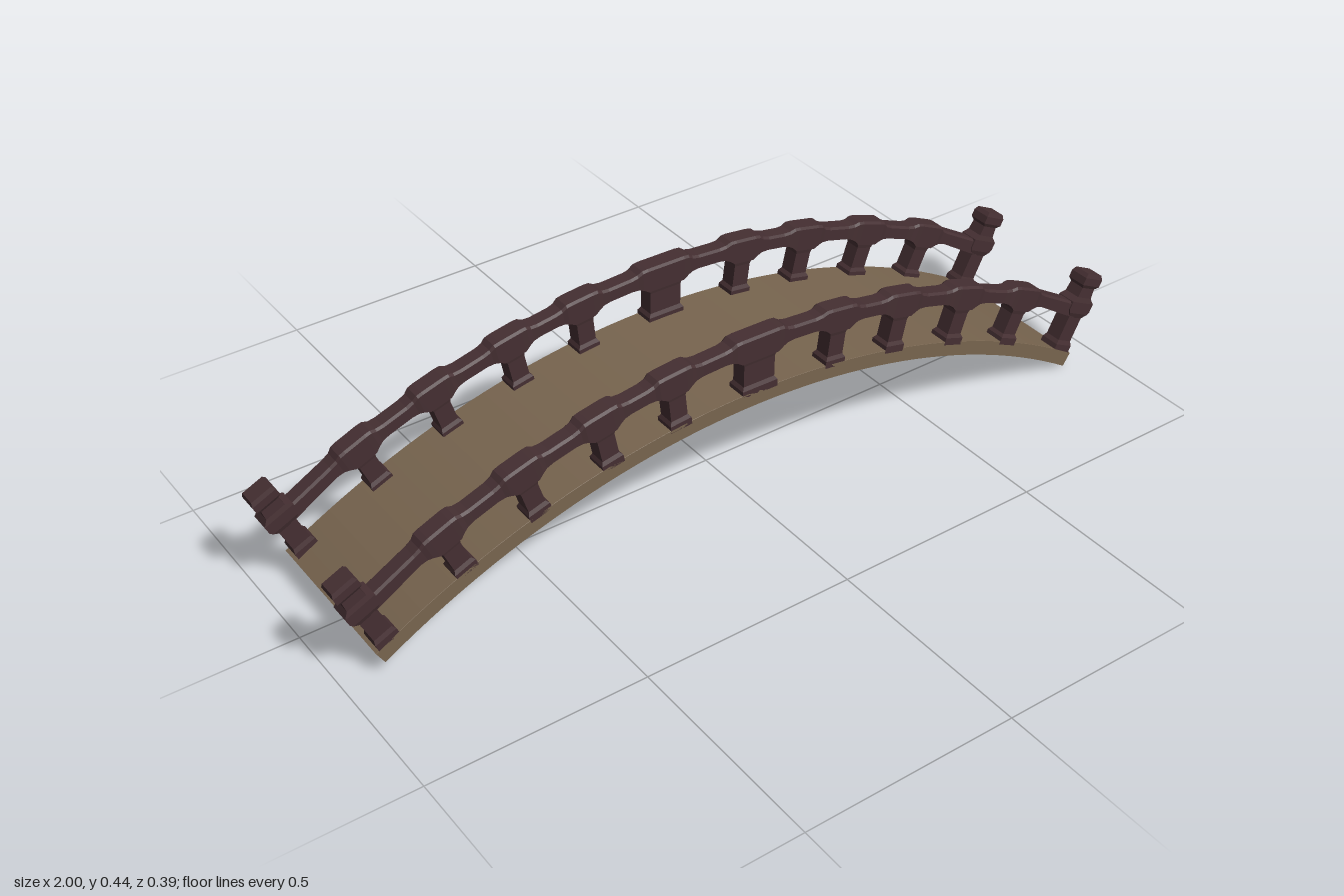
import * as THREE from 'three';

// The bridge follows circles around (0, CY); angles are measured from the vertical
const CY = -1.46, R_UNDER = 1.73, R_DECK = 1.765, RAIL_Z = 0.17;
const wood = new THREE.MeshStandardMaterial({ color: 0x78654f, flatShading: true });
const darkWood = new THREE.MeshStandardMaterial({ color: 0x452f32, flatShading: true });

// Skin a list of closed rings (each an array of [x, y, z]) and cap both ends
function loft(rings) {
  const n = rings[0].length, index = [];
  for (let i = 0; i < rings.length - 1; i++) {
    for (let j = 0; j < n; j++) {
      const a = i * n + j, b = i * n + (j + 1) % n;
      index.push(a, b, b + n, a, b + n, a + n);
    }
  }
  const last = (rings.length - 1) * n;
  for (let j = 1; j < n - 1; j++) index.push(0, j + 1, j, last, last + j, last + j + 1);
  const geometry = new THREE.BufferGeometry();
  geometry.setAttribute('position', new THREE.Float32BufferAttribute(rings.flat(2), 3));
  geometry.setIndex(index);
  geometry.computeVertexNormals();
  return geometry;
}

// Sweep a bar along the arch; stations are [angle, inner radius, outer radius, width, top chamfer]
function archBar(stations) {
  return loft(stations.map(([a, r0, r1, w, c]) => {
    const h = w / 2;
    const profile = [[r0, h], [r0, -h], [r1 - c, -h], [r1, c - h], [r1, h - c], [r1 - c, h]];
    return profile.map(([r, z]) => [Math.sin(a) * r, CY + Math.cos(a) * r, z]);
  }));
}

// Stack rectangles [height, width, depth] into a moulded square post
function squarePost(levels) {
  return loft(levels.map(([y, w, d]) =>
    [[-1, 1], [1, 1], [1, -1], [-1, -1]].map(([sx, sz]) => [sx * w / 2, y, sz * d / 2])));
}

function mesh(name, geometry, material) {
  const m = new THREE.Mesh(geometry, material);
  m.name = name;
  return m;
}

// Stand an object on the deck at angle a, leaning outward by tilt
function standOnDeck(object, a, tilt = a) {
  object.position.set(Math.sin(a) * R_DECK, CY + Math.cos(a) * R_DECK, 0);
  object.rotation.z = -tilt;
  return object;
}

const HALF_POSTS = [0.1135, 0.209, 0.311, 0.415];
const POSTS = [...HALF_POSTS.map(a => -a).reverse(), 0, ...HALF_POSTS];

function createRailing(name) {
  const railing = new THREE.Group();
  railing.name = name;

  // Handrail: slightly raised, wider and bracketed over each post
  const end = [1.848, 1.884, 0.041, 0.005];
  const stations = [[-0.522, ...end]];
  for (const a of POSTS) {
    const k = a === 0 ? 0.011 : 0;
    const bump = [
      [0.036 + k, 1.858, 1.889, 0.041, 0.005],
      [0.027 + k, 1.856, 1.892, 0.042, 0.005],
      [0.021 + k, 1.852, 1.899, 0.046, 0.005],
      [0.014 + k, 1.843, 1.9, 0.047, 0.005],
    ];
    for (const [d, ...section] of bump) stations.push([a - d, ...section]);
    for (const [d, ...section] of bump.reverse()) stations.push([a + d, ...section]);
  }
  stations.push([0.522, ...end]);
  railing.add(mesh('handrail', archBar(stations), darkWood));

  // Balusters, the middle one wider
  for (const a of POSTS) {
    const w = a === 0 ? 0.038 : 0;
    const post = squarePost([
      [-0.008, 0.052 + w, 0.047], [0.009, 0.052 + w, 0.047], [0.017, 0.041 + w, 0.037],
      [0.068, 0.041 + w, 0.037], [0.08, 0.048 + w, 0.041], [0.1, 0.056 + w, 0.041],
    ]);
    railing.add(standOnDeck(mesh('baluster', post, darkWood), a));
  }

  // End posts with a collar and a cap
  for (const side of [-1, 1]) {
    const post = squarePost([
      [-0.006, 0.054, 0.047], [0.014, 0.053, 0.047], [0.024, 0.044, 0.039],
      [0.084, 0.044, 0.039], [0.096, 0.064, 0.047], [0.104, 0.074, 0.047],
      [0.124, 0.074, 0.047], [0.136, 0.048, 0.041], [0.16, 0.043, 0.039],
      [0.168, 0.06, 0.047], [0.186, 0.06, 0.047], [0.196, 0.05, 0.04],
    ]);
    railing.add(standOnDeck(mesh('endPost', post, darkWood), side * 0.53, side * 0.445));
  }
  return railing;
}

export function createModel() {
  const model = new THREE.Group();
  model.name = 'archedBridge';
  const bridge = new THREE.Group();
  bridge.name = 'bridge';

  // Curved deck slab
  const deck = [];
  for (let i = 0; i <= 48; i++) deck.push([(i / 24 - 1) * 0.55, R_UNDER, R_DECK, 0.387, 0.0005]);
  bridge.add(mesh('deck', archBar(deck), wood));

  // A railing along each edge
  for (const side of [-1, 1]) {
    const railing = createRailing(side > 0 ? 'frontRailing' : 'backRailing');
    railing.position.z = side * RAIL_Z;
    bridge.add(railing);
  }

  // The bridge leans slightly down toward +x
  bridge.rotation.z = -0.0165;
  bridge.position.x = -0.005;
  model.add(bridge);
  return model;
}
